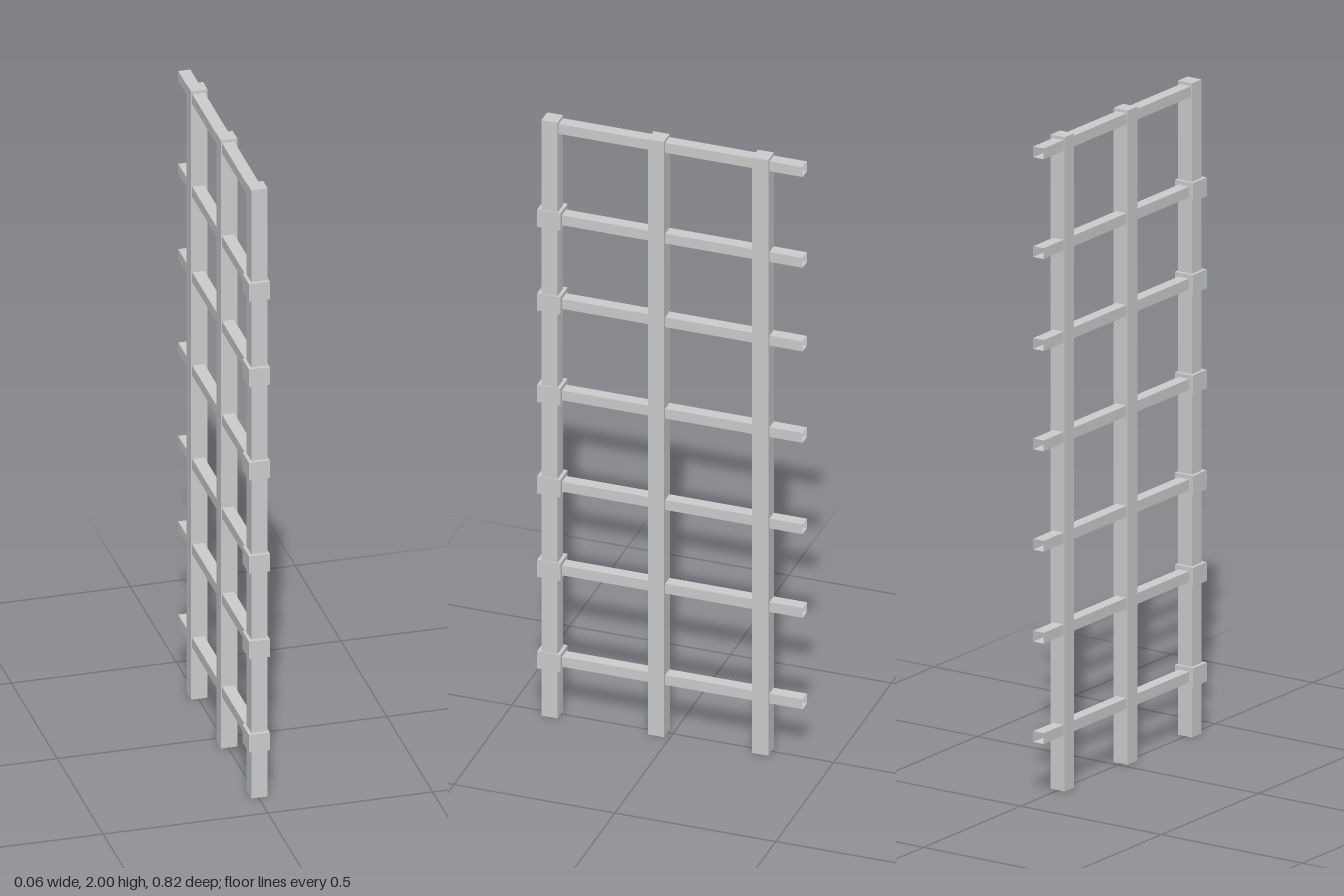
import * as THREE from 'three';

const material = new THREE.MeshStandardMaterial({
  color: 0xcccccc, flatShading: true, side: THREE.DoubleSide,
});

// Box given by its min/max corners; openSide (0..5 = +x -x +y -y +z -z) is left out
function bar(name, min, max, openSide = -1) {
  const size = max.map((v, i) => v - min[i]);
  const geometry = new THREE.BoxGeometry(...size);
  geometry.translate(...max.map((v, i) => (v + min[i]) / 2));
  if (openSide >= 0) {
    const index = Array.from(geometry.index.array);
    index.splice(openSide * 6, 6);
    geometry.setIndex(index);
    geometry.clearGroups();
  }
  const mesh = new THREE.Mesh(geometry, material);
  mesh.name = name;
  return mesh;
}

export function createModel() {
  const group = new THREE.Group();
  group.name = 'trellisPanel';

  // Upright posts, open underneath
  for (const z of [0.373, 0.042, -0.282]) {
    group.add(bar('post', [-0.022, 0, z - 0.025], [0.028, 2, z + 0.025], 3));
  }

  // Horizontal rails, open at the free end, with a collar round the front post
  const heights = [0.187, 0.494, 0.775, 1.082, 1.389, 1.67, 1.975];
  heights.forEach((y, i) => {
    group.add(bar('rail', [-0.019, y - 0.0165, -0.41], [0.018, y + 0.0165, 0.37], 5));
    if (i < heights.length - 1) {
      group.add(bar('collar', [-0.032, y - 0.029, 0.338], [0.031, y + 0.029, 0.41]));
    }
  });

  return group;
}
